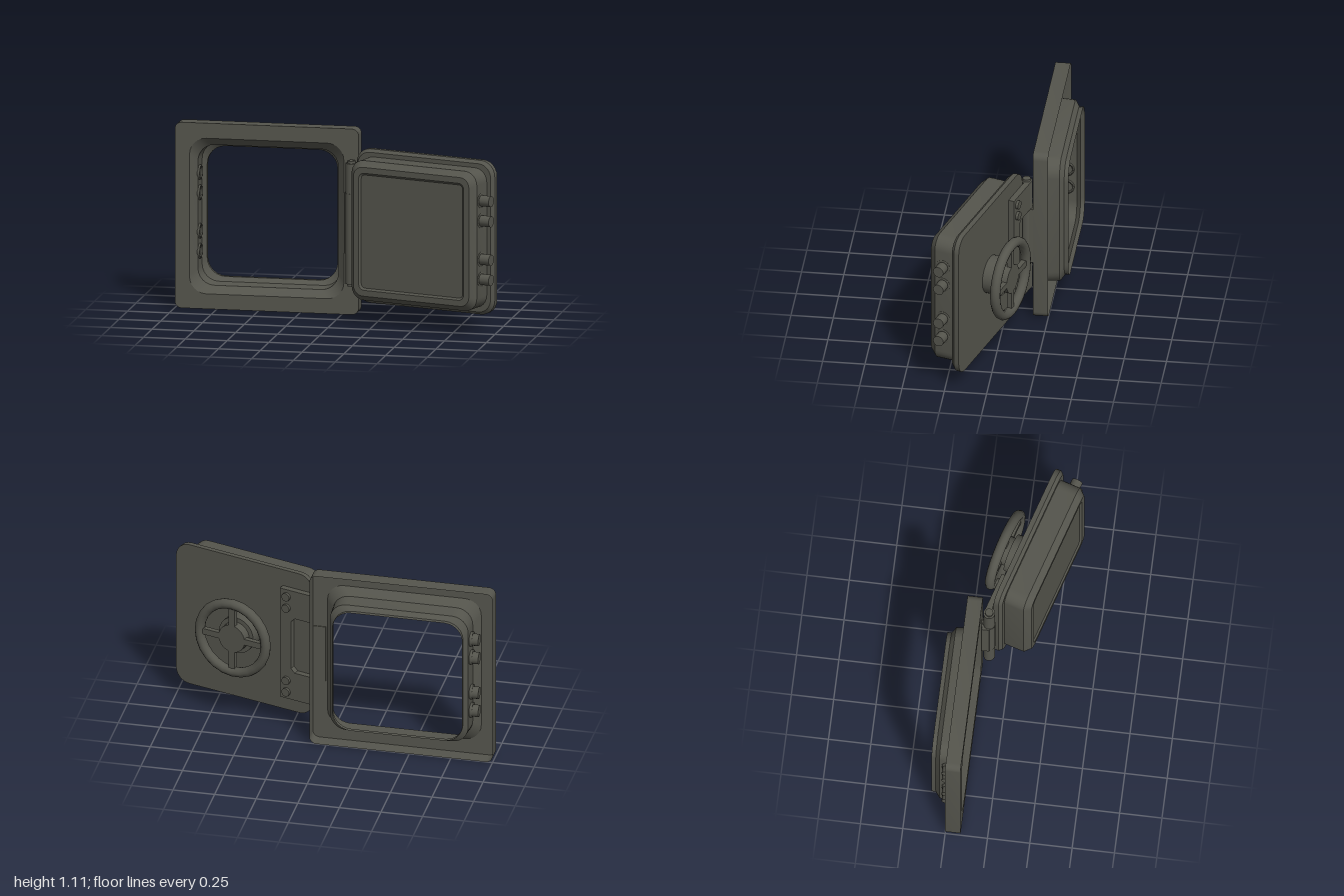
import * as THREE from 'three';
import { toCreasedNormals } from 'three/addons/utils/BufferGeometryUtils.js';

const MID_Y = 0.555;
const BOLT_Y = [0.8, 0.68, 0.45, 0.33];

// Rounded rectangle outline, counter-clockwise seen from +z
function roundedLoop(hx, hy, r, z, steps = 6) {
  const points = [];
  const corners = [[1, 1], [-1, 1], [-1, -1], [1, -1]];
  corners.forEach(([sx, sy], q) => {
    for (let i = 0; i <= steps; i++) {
      const a = (q + i / steps) * Math.PI / 2;
      points.push([sx * (hx - r) + r * Math.cos(a), sy * (hy - r) + r * Math.sin(a), z]);
    }
  });
  return points;
}

// Skin through successive outlines, with optional flat ends
function loft(loops, capped) {
  const n = loops[0].length;
  const pos = loops.flat(2);
  const index = [];
  for (let k = 0; k < loops.length - 1; k++) {
    for (let i = 0; i < n; i++) {
      const j = (i + 1) % n;
      const a = k * n + i, b = k * n + j, c = a + n, d = b + n;
      index.push(a, b, d, a, d, c);
    }
  }
  if (capped) {
    const last = (loops.length - 1) * n;
    for (let i = 1; i < n - 1; i++) {
      index.push(0, i + 1, i, last, last + i, last + i + 1);
    }
  }
  const geo = new THREE.BufferGeometry();
  geo.setAttribute('position', new THREE.Float32BufferAttribute(pos, 3));
  geo.setIndex(index);
  return toCreasedNormals(geo, 0.45);
}

export function createModel() {
  const steel = new THREE.MeshStandardMaterial({ color: 0x55554d, side: THREE.DoubleSide });
  steel.name = 'dark steel';
  const model = new THREE.Group();
  model.name = 'hatch';

  const add = (parent, name, geo, x = 0, y = 0, z = 0) => {
    const mesh = new THREE.Mesh(geo, steel);
    mesh.name = name;
    mesh.position.set(x, y, z);
    parent.add(mesh);
    return mesh;
  };
  const cylX = (r, len, seg = 16) => new THREE.CylinderGeometry(r, r, len, seg).rotateZ(-Math.PI / 2);
  const cylZ = (r, len, seg = 24) => new THREE.CylinderGeometry(r, r, len, seg).rotateX(Math.PI / 2);
  const ringX = (outer, inner, len) => new THREE.LatheGeometry([
    new THREE.Vector2(inner, -len / 2), new THREE.Vector2(outer, -len / 2),
    new THREE.Vector2(outer, len / 2), new THREE.Vector2(inner, len / 2),
    new THREE.Vector2(inner, -len / 2),
  ], 20).rotateZ(-Math.PI / 2);

  // Frame: pressed sheet, open at the back, with a stepped well round the opening
  const frame = new THREE.Group();
  frame.name = 'frame';
  frame.position.set(-0.45, MID_Y, 0);
  model.add(frame);
  add(frame, 'frameShell', loft([
    roundedLoop(0.55, 0.555, 0.04, -0.25),
    roundedLoop(0.55, 0.555, 0.04, -0.16),
    roundedLoop(0.462, 0.465, 0.1, -0.16),
    roundedLoop(0.42, 0.42, 0.1, -0.2),
    roundedLoop(0.415, 0.415, 0.1, -0.3),
    roundedLoop(0.39, 0.39, 0.11, -0.325),
    roundedLoop(0.39, 0.39, 0.11, -0.35),
  ], false));

  // Sockets that receive the locking bolts
  for (const y of BOLT_Y) {
    add(frame, 'boltSocket', cylX(0.036, 0.05), -0.445, y - MID_Y, -0.245);
    add(frame, 'socketCollar', ringX(0.045, 0.034, 0.022), -0.42, y - MID_Y, -0.24);
  }

  // Hinge: pin, frame knuckle
  const hinge = new THREE.Group();
  hinge.name = 'hinge';
  hinge.position.set(0.065, MID_Y, -0.12);
  model.add(hinge);
  add(hinge, 'hingePin', new THREE.CylinderGeometry(0.024, 0.024, 0.75, 16));
  add(hinge, 'frameKnuckle', new THREE.CylinderGeometry(0.037, 0.037, 0.36, 20));
  add(hinge, 'knuckleMount', new THREE.BoxGeometry(0.075, 0.36, 0.05), -0.005, 0, -0.02);
  for (const s of [-1, 1]) {
    add(hinge, 'doorKnuckle', new THREE.CylinderGeometry(0.035, 0.035, 0.18, 20), 0, s * 0.27, 0);
  }

  // Door, swung open; local z = 0 is the back face of its flange
  const door = new THREE.Group();
  door.name = 'door';
  door.position.set(0.556, MID_Y + 0.005, 0.0325);
  door.rotation.y = -0.293;
  model.add(door);
  add(door, 'doorPanel', loft([
    roundedLoop(0.46, 0.46, 0.09, 0),
    roundedLoop(0.46, 0.46, 0.09, 0.03),
    roundedLoop(0.443, 0.443, 0.08, 0.05),
    roundedLoop(0.4175, 0.4175, 0.08, 0.05),
    roundedLoop(0.4175, 0.4175, 0.08, 0.172),
    roundedLoop(0.385, 0.385, 0.06, 0.21),
    roundedLoop(0.35, 0.35, 0.035, 0.21),
    roundedLoop(0.338, 0.338, 0.025, 0.2),
  ], true));

  // Locking bolts on the free edge
  for (const y of BOLT_Y) {
    add(door, 'lockingBolt', cylX(0.033, 0.1), 0.435, y - 0.56, 0.12);
    add(door, 'boltCollar', ringX(0.044, 0.03, 0.008), 0.417, y - 0.56, 0.12);
  }

  // Hinge leaf: C-shaped strap on the back of the door
  const leaf = new THREE.Shape();
  [[-0.26, -0.36], [-0.26, 0.36], [-0.51, 0.36], [-0.51, 0.18], [-0.36, 0.18], [-0.335, 0.155],
    [-0.335, -0.155], [-0.36, -0.18], [-0.51, -0.18], [-0.51, -0.36]]
    .forEach(([x, y], i) => (i ? leaf.lineTo(x, y) : leaf.moveTo(x, y)));
  add(door, 'hingeLeaf', new THREE.ExtrudeGeometry(leaf, { depth: 0.036, bevelEnabled: false }), 0, -0.005, -0.036);
  for (const y of [-0.315, -0.24, 0.24, 0.315]) {
    add(door, 'rivet', cylZ(0.026, 0.03, 14), -0.305, y - 0.005, -0.037);
  }

  // Hand wheel on the back
  const wheel = new THREE.Group();
  wheel.name = 'handWheel';
  wheel.position.set(0.004, -0.002, -0.13);
  door.add(wheel);
  add(wheel, 'wheelRim', new THREE.TorusGeometry(0.222, 0.03, 12, 24));
  add(wheel, 'wheelBase', cylZ(0.115, 0.09), 0, 0, 0.085);
  add(wheel, 'wheelHub', cylZ(0.088, 0.06), 0, 0, 0.015);
  for (let i = 0; i < 4; i++) {
    const a = i * Math.PI / 2;
    const spoke = add(wheel, 'spoke', new THREE.BoxGeometry(0.16, 0.038, 0.03),
      0.145 * Math.cos(a), 0.145 * Math.sin(a), 0);
    spoke.rotation.z = a;
  }
  return model;
}
